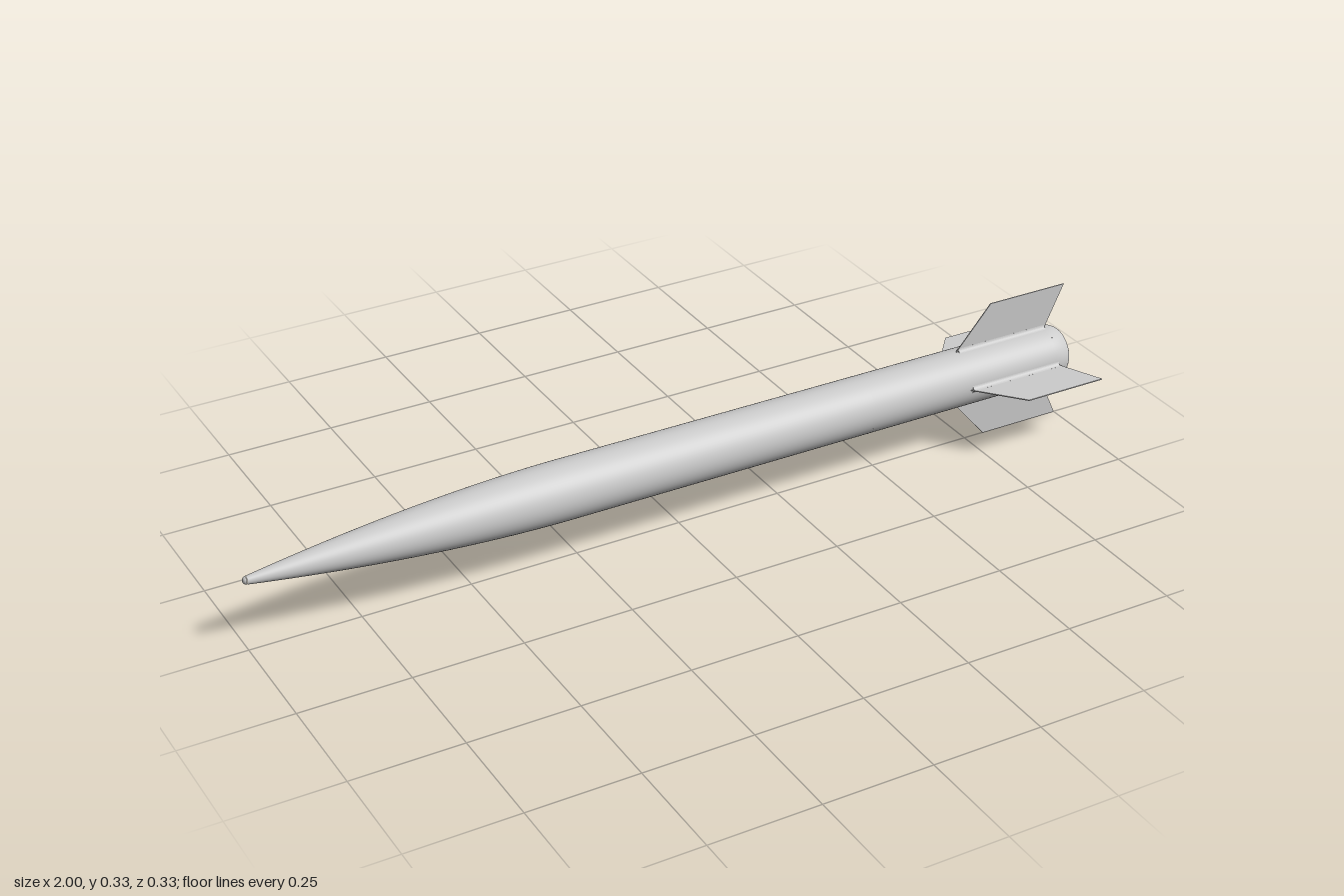
import * as THREE from 'three';

const R = 0.066, AXIS_Y = 0.167, FIN_TIP = 0.167;

export function createModel() {
  const model = new THREE.Group();
  model.name = 'rocket';
  model.position.y = AXIS_Y;
  const mat = new THREE.MeshStandardMaterial({ color: 0xcccccc });

  function add(name, geometry, parent) {
    const mesh = new THREE.Mesh(geometry, mat);
    mesh.name = name;
    parent.add(mesh);
    return mesh;
  }

  // Surface of revolution about the x axis; points are [x, radius], nose to tail
  function turned(name, points, segments = 64) {
    const g = new THREE.LatheGeometry(points.map(([x, r]) => new THREE.Vector2(r, x)), segments);
    g.rotateZ(-Math.PI / 2);
    return add(name, g, model);
  }

  // Ogive nose with a small blunt tip
  const tip = [], nose = [];
  for (let i = 0; i <= 6; i++) {
    const a = (i / 6) * Math.PI / 2 * 0.92;
    tip.push([-0.992 - 0.008 * Math.cos(a), 0.009 * Math.sin(a)]);
  }
  tip[0][1] = 0;
  for (let i = 0; i <= 32; i++) {
    const t = 1 - i / 32;
    nose.push([-0.28 - 0.712 * t, 0.009 + (R - 0.009) * (1 - Math.pow(t, 1.8))]);
  }
  turned('noseTip', tip);
  turned('noseCone', nose);

  // Straight body tube
  turned('bodyTube', [[-0.28, R], [0.46, R], [0.95, R]]);

  // Rounded tail
  const tail = [];
  for (let i = 0; i <= 12; i++) {
    const a = (i / 12) * Math.PI / 2;
    tail.push([0.95 + 0.045 * Math.sin(a), 0.045 + (R - 0.045) * Math.cos(a)]);
  }
  turned('tailCone', tail);

  // Motor retainer: stepped recess, inner collar and nozzle
  turned('retainerWall', [[0.995, 0.045], [0.985, 0.043]]);
  turned('retainerFloor', [[0.985, 0.043], [0.985, 0.024]]);
  turned('collarOuter', [[0.985, 0.024], [0.993, 0.0235]]);
  turned('collarRim', [[0.993, 0.0235], [0.993, 0.02]]);
  turned('nozzle', [[0.993, 0.02], [0.975, 0.014], [0.96, 0.01]]);
  turned('nozzleThroat', [[0.96, 0.01], [0.96, 0]]);

  // Ring of curved lugs and radial ribs in the retainer
  const retainer = new THREE.Group();
  retainer.name = 'retainerRing';
  model.add(retainer);
  const lug = new THREE.Shape();
  lug.absarc(0, 0, 0.041, -0.17, 0.17, false);
  lug.absarc(0, 0, 0.032, 0.17, -0.17, true);
  const lugGeometry = new THREE.ExtrudeGeometry(lug, { depth: 0.006, bevelEnabled: false, curveSegments: 6 });
  lugGeometry.rotateY(Math.PI / 2);
  const ribGeometry = new THREE.BoxGeometry(0.005, 0.012, 0.003);
  for (let i = 0; i < 12; i++) {
    const spoke = new THREE.Group();
    spoke.rotation.x = (i / 12) * Math.PI * 2;
    retainer.add(spoke);
    add('lug', lugGeometry, spoke).position.x = 0.985;
    add('rib', ribGeometry, spoke).position.set(0.986, 0.029, 0);
  }

  // Swept fin plate in the xy plane
  const fin = new THREE.Shape([
    [0.705, 0.06], [0.713, R], [0.8, FIN_TIP], [1.0, FIN_TIP], [0.953, R], [0.953, 0.06],
  ].map(([x, y]) => new THREE.Vector2(x, y)));
  const finGeometry = new THREE.ExtrudeGeometry(fin, { depth: 0.0025, bevelEnabled: false });
  finGeometry.translate(0, 0, -0.00125);

  // Concave fillet along the fin root
  const fillet = new THREE.Shape();
  fillet.moveTo(-0.009, 0.063);
  fillet.lineTo(0.009, 0.063);
  fillet.lineTo(0.009, 0.0653);
  fillet.quadraticCurveTo(0.0025, 0.067, 0.0013, 0.074);
  fillet.lineTo(-0.0013, 0.074);
  fillet.quadraticCurveTo(-0.0025, 0.067, -0.009, 0.0653);
  const filletGeometry = new THREE.ExtrudeGeometry(fillet, { depth: 0.235, bevelEnabled: false, curveSegments: 6 });
  filletGeometry.rotateY(Math.PI / 2);
  filletGeometry.translate(0.718, 0, 0);

  for (let i = 0; i < 4; i++) {
    const finGroup = new THREE.Group();
    finGroup.name = 'fin';
    finGroup.rotation.x = i * Math.PI / 2;
    model.add(finGroup);
    add('finPlate', finGeometry, finGroup);
    add('finFillet', filletGeometry, finGroup);
  }

  // Small flush fasteners around the body joint and the tail
  const rivetGeometry = new THREE.CylinderGeometry(0.0022, 0.0022, 0.002, 10);
  for (const x of [0.46, 0.953]) {
    for (let i = 0; i < 12; i++) {
      if (i % 3 === 0) continue;
      const holder = new THREE.Group();
      holder.rotation.x = i * Math.PI / 6;
      model.add(holder);
      add('fastener', rivetGeometry, holder).position.set(x, R - 0.0006, 0);
    }
  }

  const root = new THREE.Group();
  root.add(model);
  return root;
}
